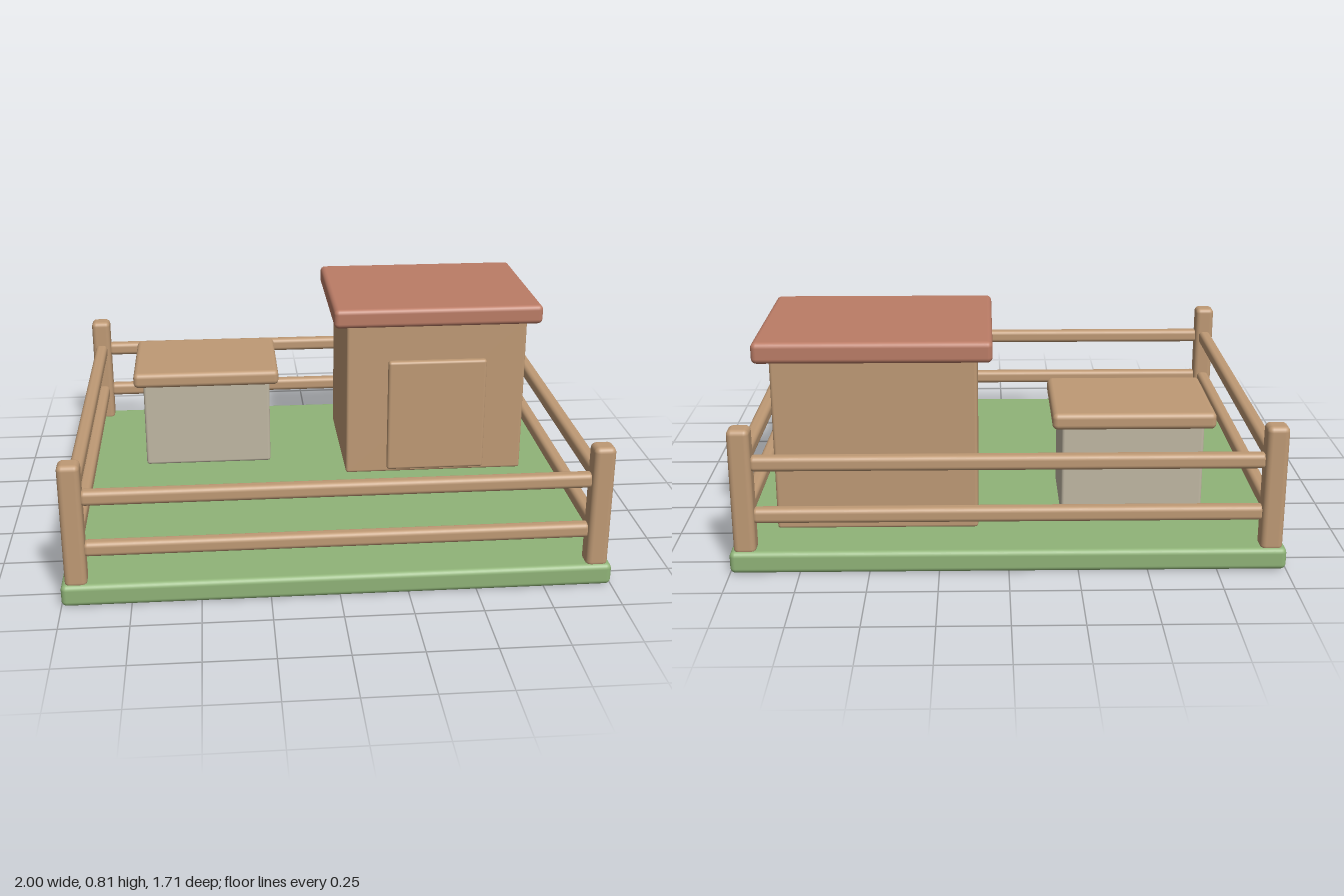
import * as THREE from 'three';
import { RoundedBoxGeometry } from 'three/addons/geometries/RoundedBoxGeometry.js';

const material = (name, color) => {
  const m = new THREE.MeshStandardMaterial({ color });
  m.name = name;
  return m;
};

export function createModel() {
  const model = new THREE.Group();
  model.name = 'fencedYard';

  const grass = material('grass green', 0x90b478);
  const wood = material('tan wood', 0xbf9a75);
  const roofRed = material('roof red', 0xbb7c66);
  const stone = material('pale stone', 0xc1b8a4);

  // Rounded block given by its lower and upper limits on each axis
  const block = (name, mat, [x0, x1], [y0, y1], [z0, z1], radius, parent = model) => {
    const geometry = new RoundedBoxGeometry(x1 - x0, y1 - y0, z1 - z0, 3, radius);
    const mesh = new THREE.Mesh(geometry, mat);
    mesh.name = name;
    mesh.position.set((x0 + x1) / 2, (y0 + y1) / 2, (z0 + z1) / 2);
    parent.add(mesh);
    return mesh;
  };
  const group = (name) => {
    const g = new THREE.Group();
    g.name = name;
    model.add(g);
    return g;
  };

  // Ground slab
  block('ground', grass, [-1, 1], [0, 0.083], [-0.855, 0.855], 0.02);

  // House with an overhanging flat roof and a door on the front
  const house = group('house');
  block('houseWalls', wood, [0.11, 0.855], [0.08, 0.745], [-0.64, -0.04], 0.012, house);
  block('houseRoof', roofRed, [0.055, 0.91], [0.733, 0.812], [-0.69, 0], 0.02, house);
  block('houseDoor', wood, [0.28, 0.688], [0.105, 0.585], [-0.036, -0.003], 0.012, house);

  // Storage box with a wooden lid
  const storage = group('storageBox');
  block('boxBody', stone, [-0.732, -0.202], [0.085, 0.455], [-0.563, -0.187], 0.012, storage);
  block('boxLid', wood, [-0.77, -0.165], [0.447, 0.51], [-0.603, -0.147], 0.02, storage);

  // Fence: corner posts, then two rails on every side
  const fence = group('fence');
  const px = 0.945, pz = 0.804, half = 0.04;
  const around = (c, h) => [c - h, c + h];
  for (const sx of [-1, 1]) {
    for (const sz of [-1, 1]) {
      block('fencePost', wood, around(sx * px, half), [0.07, 0.542], around(sz * pz, half), 0.02, fence);
    }
  }
  for (const y of [0.21, 0.408]) {
    for (const s of [-1, 1]) {
      block('longRail', wood, around(0, px - 0.03), around(y, 0.028), around(s * pz, 0.025), 0.018, fence);
      block('sideRail', wood, around(s * px, 0.025), around(y, 0.028), around(0, pz - 0.03), 0.018, fence);
    }
  }
  return model;
}
